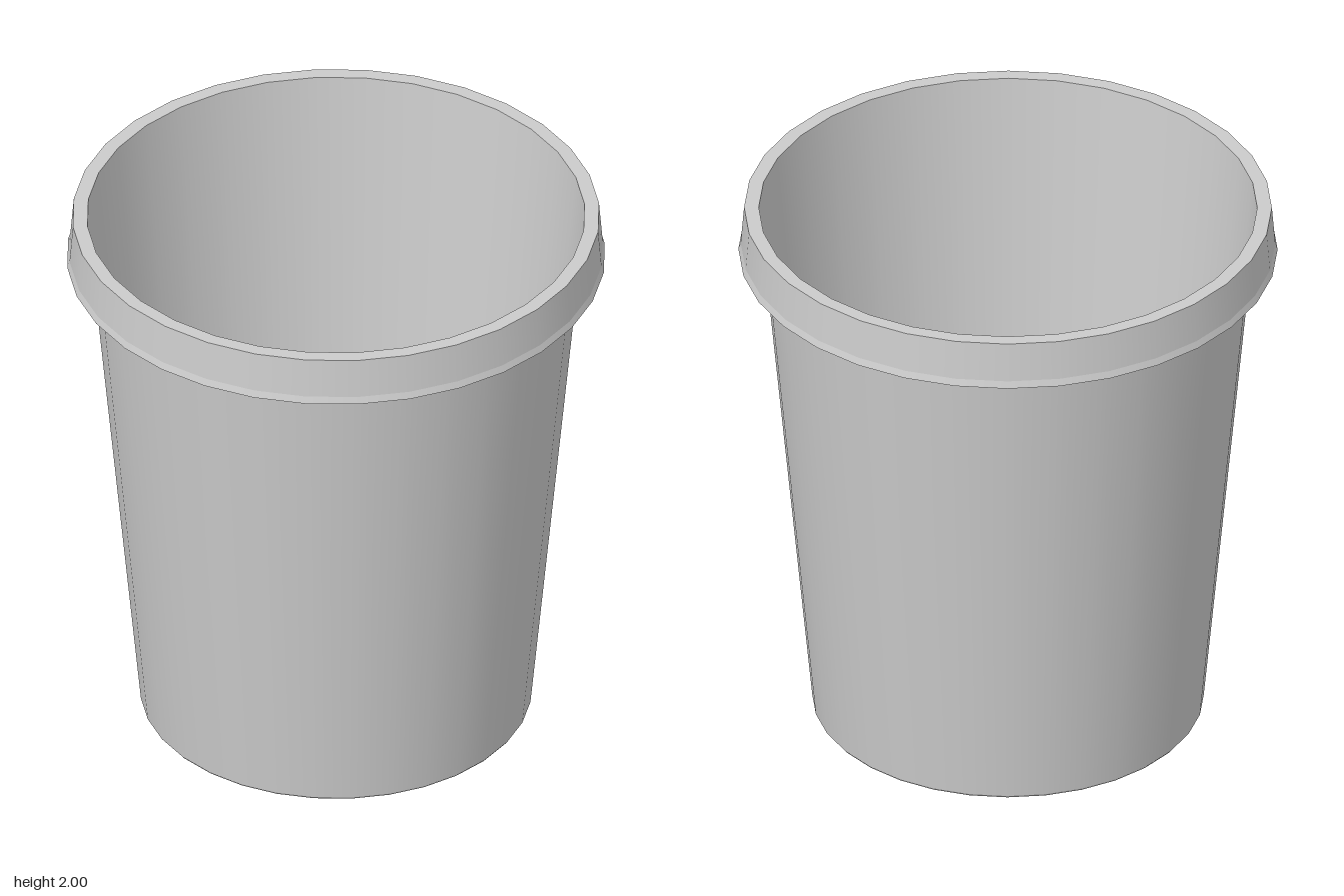
import * as THREE from 'three';

const SEGMENTS = 32;

export function createModel() {
  const group = new THREE.Group();
  // Thin-walled cup: every surface is seen from both sides
  const material = new THREE.MeshStandardMaterial({ color: 0xcccccc, side: THREE.DoubleSide });

  // Separate lathes keep the edges between parts sharp
  const addRing = (name, profile) => {
    const points = profile.map(([r, y]) => new THREE.Vector2(r, y));
    const mesh = new THREE.Mesh(new THREE.LatheGeometry(points, SEGMENTS), material);
    mesh.name = name;
    group.add(mesh);
  };

  // Flat base with a tiny bevel into the wall
  addRing('base', [[0, 0], [0.676, 0]]);
  addRing('baseBevel', [[0.676, 0], [0.684, 0.01]]);

  // Tapered wall running up inside the rim
  addRing('wall', [[0.684, 0.01], [0.871, 2]]);

  // Hollow overhanging rim: flat top, flared skirt, small lip
  addRing('rimTop', [[0.922, 2], [0.871, 2]].reverse());
  addRing('rimSkirt', [[0.934, 1.855], [0.922, 2]]);
  addRing('rimLip', [[0.942, 1.83], [0.934, 1.855]]);

  return group;
}
